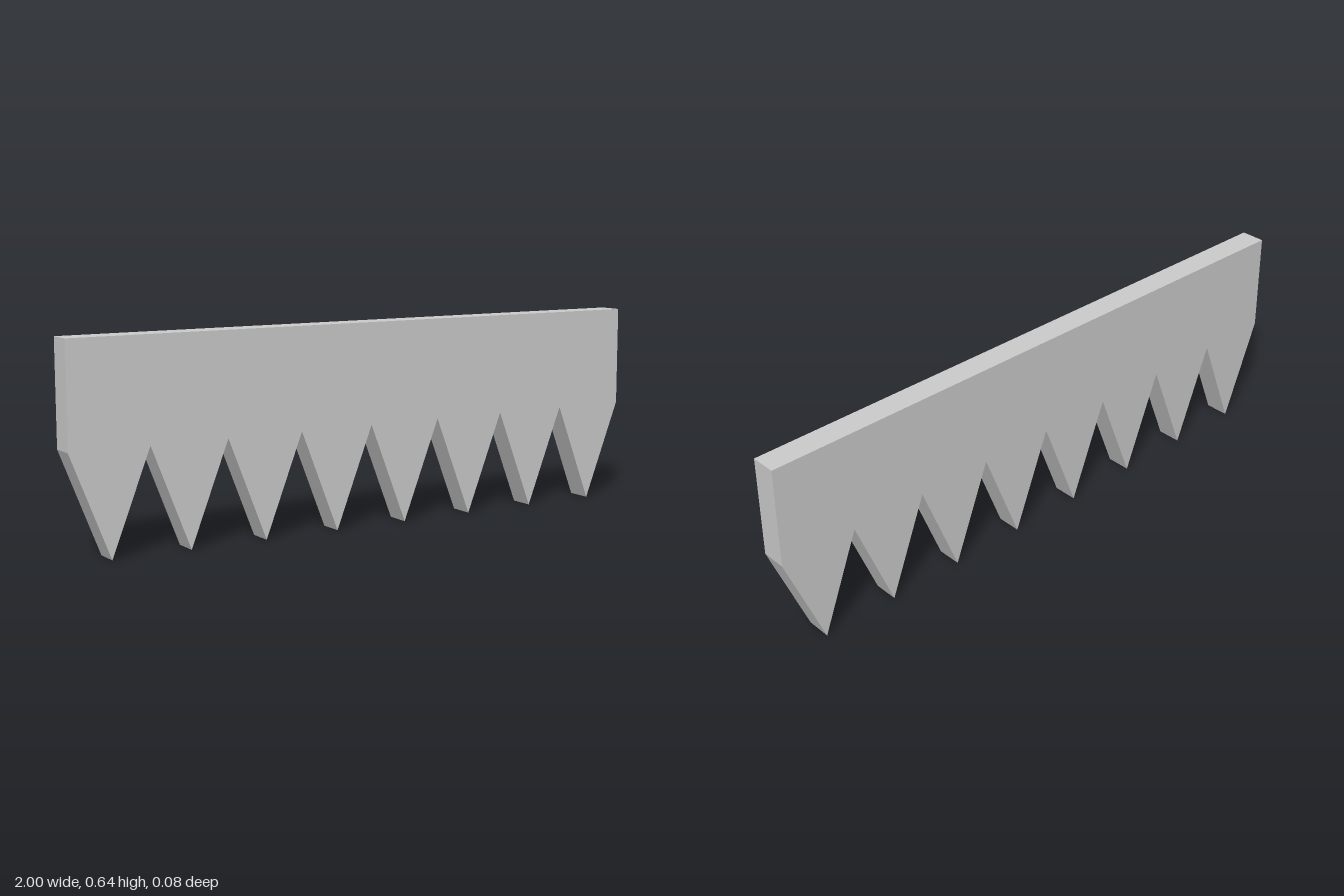
import * as THREE from 'three';

const TEETH = 8, WIDTH = 2, HEIGHT = 0.64, ROOT = 0.32, DEPTH = 0.08;

export function createModel() {
  const group = new THREE.Group();
  group.name = 'toothedBlade';

  // Outline: straight top edge, then a row of pointed teeth along the bottom
  const pitch = WIDTH / TEETH;
  const outline = new THREE.Shape();
  outline.moveTo(WIDTH / 2, HEIGHT);
  outline.lineTo(-WIDTH / 2, HEIGHT);
  outline.lineTo(-WIDTH / 2, ROOT);
  for (let i = 0; i < TEETH; i++) {
    const x = -WIDTH / 2 + i * pitch;
    outline.lineTo(x + pitch / 2, 0);
    outline.lineTo(x + pitch, ROOT);
  }
  outline.closePath();

  // Flat plate of even thickness, centred on z
  const geometry = new THREE.ExtrudeGeometry(outline, { depth: DEPTH, bevelEnabled: false });
  geometry.translate(0, 0, -DEPTH / 2);
  const material = new THREE.MeshStandardMaterial({ color: 0xcccccc, flatShading: true });
  const blade = new THREE.Mesh(geometry, material);
  blade.name = 'blade';
  group.add(blade);
  return group;
}
